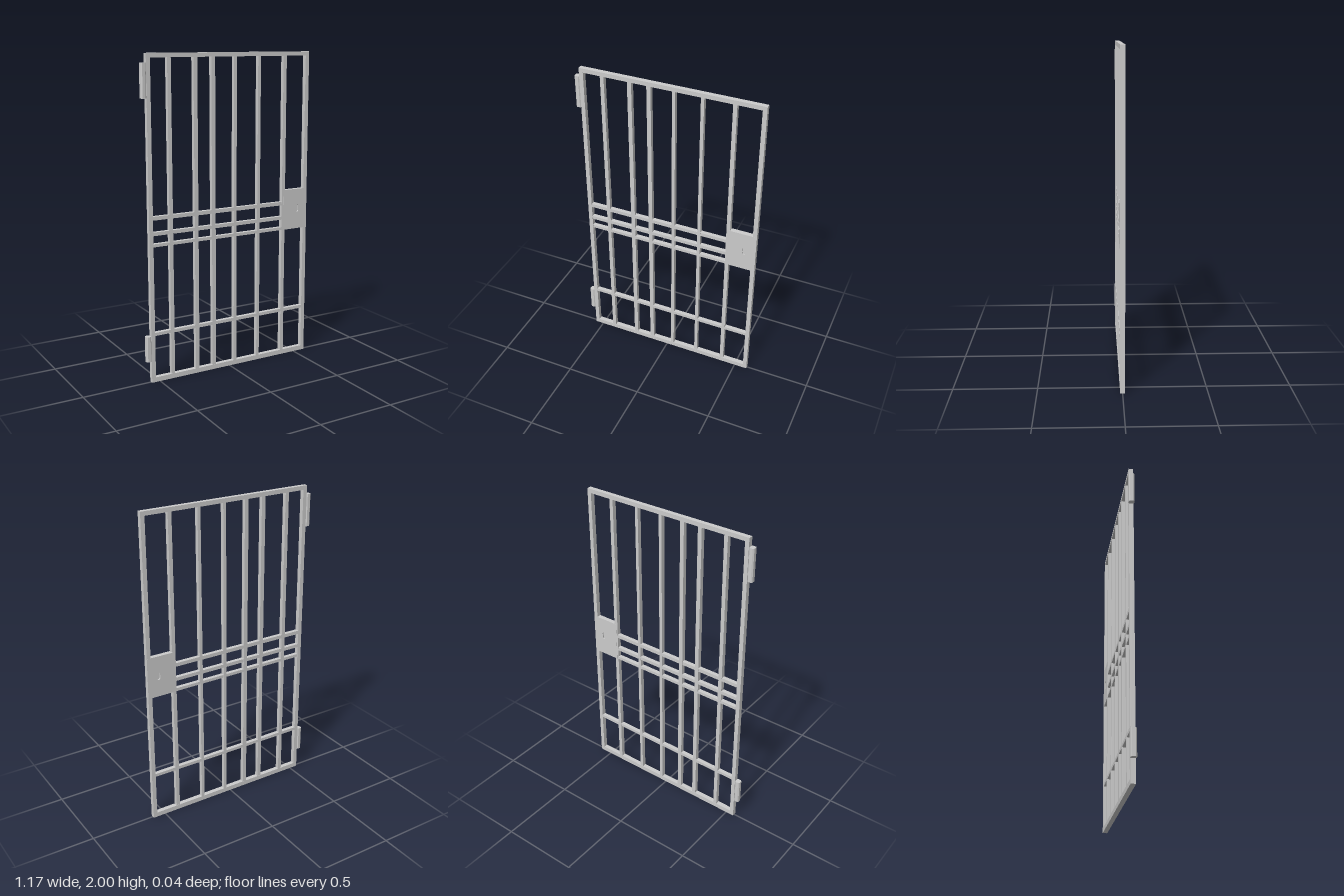
import * as THREE from 'three';

const material = new THREE.MeshStandardMaterial({ color: 0xcccccc });

function add(parent, name, geometry) {
  const mesh = new THREE.Mesh(geometry, material);
  mesh.name = name;
  parent.add(mesh);
  return mesh;
}

// Box given by its edges in x and y and its half depth in z
function bar(parent, name, x0, x1, y0, y1, half) {
  add(parent, name, new THREE.BoxGeometry(x1 - x0, y1 - y0, half * 2))
    .position.set((x0 + x1) / 2, (y0 + y1) / 2, 0);
}

// Upright rounded slot outline
function slot(path, x, y, r, h) {
  path.absarc(x, y + h, r, 0, Math.PI);
  path.absarc(x, y - h, r, Math.PI, Math.PI * 2);
  path.closePath();
  return path;
}

export function createModel() {
  const gate = new THREE.Group();
  gate.name = 'barredGate';

  // Outer frame
  const L = -0.555, R = 0.585, T = 0.026, D = 0.0145;
  const frame = new THREE.Group();
  frame.name = 'frame';
  gate.add(frame);
  bar(frame, 'hingeStile', L, L + T, 0, 2, D);
  bar(frame, 'lockStile', R - T, R, 0, 2, D);
  bar(frame, 'topRail', L + T, R - T, 2 - T, 2, D);
  bar(frame, 'bottomRail', L + T, R - T, 0, 0.03, D);

  // Upright bars: centre and width; the last one is interrupted by the lock plate
  const low = 0.857, high = 1.12;
  const bars = [[-0.408, 0.024], [-0.235, 0.026], [-0.114, 0.026], [0.04, 0.02], [0.213, 0.02]];
  for (const [x, w] of bars) bar(gate, 'uprightBar', x - w / 2, x + w / 2, 0.03, 2 - T, 0.0135);
  bar(gate, 'uprightBarLower', 0.391, 0.415, 0.03, low, 0.0135);
  bar(gate, 'uprightBarUpper', 0.391, 0.415, low, 2 - T, 0.0135);

  // Cross bars: three at the lock, one near the bottom
  for (const [y0, y1] of [[1.021, 1.044], [0.926, 0.948], [0.857, 0.876]]) {
    bar(gate, 'middleCrossBar', L + T, 0.40, y0, y1, 0.013);
  }
  bar(gate, 'lowerCrossBar', L + T, R - T, 0.299, 0.319, 0.013);

  // Lock plate with a slotted keyhole, closed by a core halfway through
  const half = 0.0148, kx = 0.51, ky = 0.993;
  const plate = new THREE.Shape([[0.402, low], [R, low], [R, high], [0.402, high]]
    .map(([x, y]) => new THREE.Vector2(x, y)));
  plate.holes.push(slot(new THREE.Path(), kx, ky, 0.01, 0.016));
  const plateGeo = new THREE.ExtrudeGeometry(plate, { depth: half * 2, bevelEnabled: false, curveSegments: 10 });
  add(gate, 'lockPlate', plateGeo.translate(0, 0, -half));
  bar(gate, 'keyholeCore', kx - 0.012, kx + 0.012, ky - 0.028, ky + 0.028, 0.006);

  // Hinges: upright blocks with chamfered corners
  const a = 0.0165, b = 0.0175, c = 0.007;
  const outline = new THREE.Shape([
    [a, c - b], [a, b - c], [a - c, b], [c - a, b], [-a, b - c], [-a, c - b], [c - a, -b], [a - c, -b],
  ].map(([x, y]) => new THREE.Vector2(x, y)));
  for (const [y0, y1] of [[1.742, 1.945], [0.138, 0.3]]) {
    const hinge = new THREE.ExtrudeGeometry(outline, { depth: y1 - y0, bevelEnabled: false });
    hinge.rotateX(-Math.PI / 2);
    add(gate, 'hinge', hinge).position.set(-0.571, y0, 0);
  }

  return gate;
}
